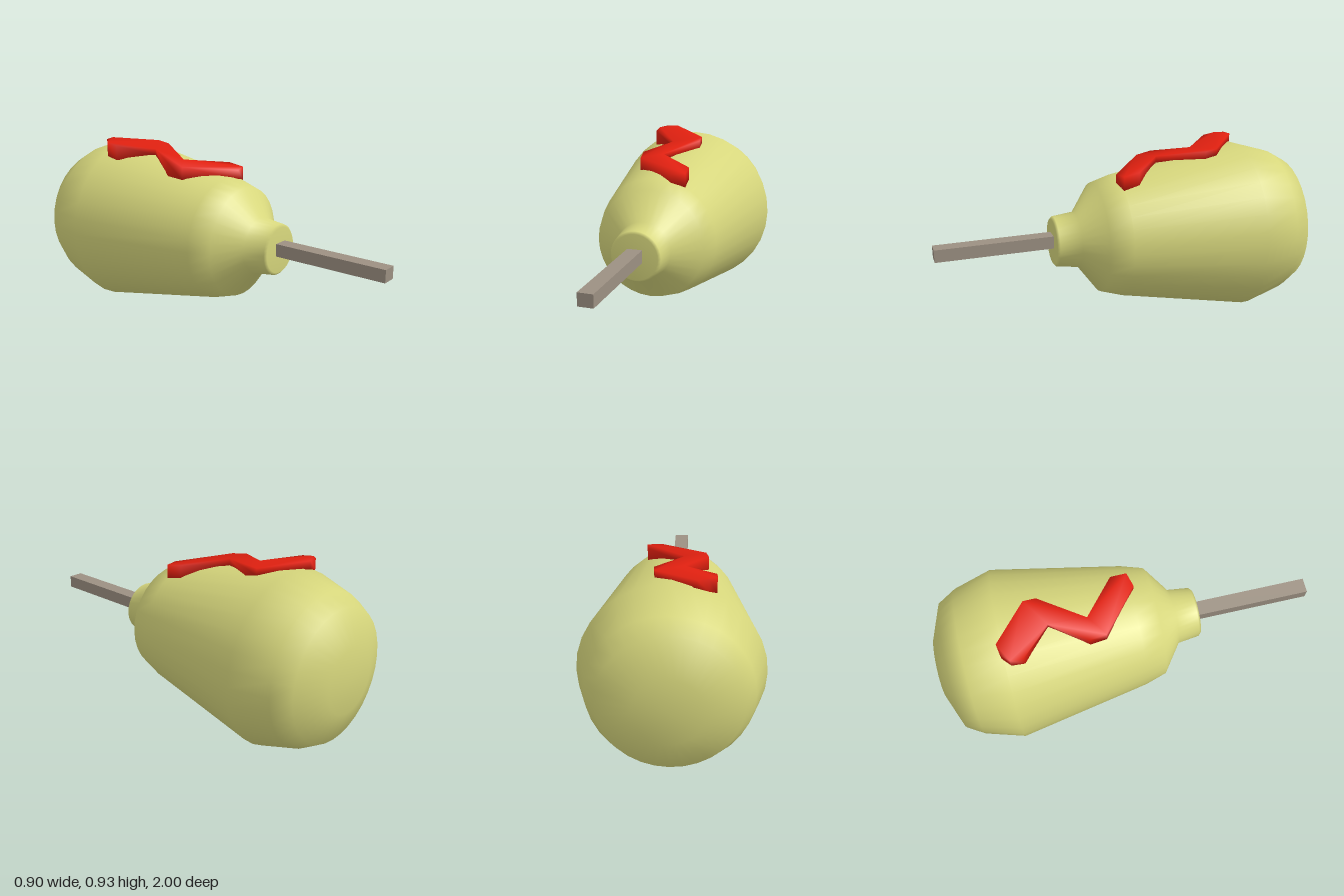
import * as THREE from 'three';
import { mergeVertices } from 'three/addons/utils/BufferGeometryUtils.js';

const AXIS_Y = 0.453;

function part(name, geometry, color) {
  const mesh = new THREE.Mesh(geometry, new THREE.MeshStandardMaterial({ color }));
  mesh.name = name;
  return mesh;
}

// Zigzag plate: flat sloping top, underside following the round body
function boltGeometry() {
  const outline = [
    [-0.17, -0.65], [-0.115, -0.66], [0.085, -0.495], [0.09, -0.43], [-0.05, -0.205],
    [0.145, -0.045], [0.152, 0.04], [0.08, 0.06], [-0.155, -0.13], [-0.168, -0.215],
    [-0.055, -0.4], [-0.207, -0.545], [-0.207, -0.61],
  ].map(([x, z]) => new THREE.Vector2(x, -z));
  let geo = new THREE.ExtrudeGeometry(new THREE.Shape(outline), { depth: 1, bevelEnabled: false });
  geo.rotateX(-Math.PI / 2);
  const p = geo.attributes.position;
  for (let i = 0; i < p.count; i++) {
    const x = p.getX(i), z = p.getZ(i);
    const radius = 0.325 + 0.184 * (0.04 - z);
    const top = 0.82 - 0.17 * z;
    const bottom = AXIS_Y + Math.sqrt(radius * radius - x * x);
    p.setY(i, p.getY(i) > 0.5 ? top : bottom);
  }
  // Shared vertices give the soft shading across the edges
  geo.deleteAttribute('normal');
  geo.deleteAttribute('uv');
  geo = mergeVertices(geo, 1e-4);
  geo.computeVertexNormals();
  return geo;
}

export function createModel() {
  const model = new THREE.Group();

  // Bulbous body with a short neck: [radius, z] from back to front
  const profile = [
    [0, -1], [0.165, -1], [0.338, -0.93], [0.391, -0.84], [0.45, -0.64],
    [0.325, 0.04], [0.29, 0.155], [0.147, 0.26], [0.133, 0.375], [0.12, 0.387], [0, 0.387],
  ].map(([r, z]) => new THREE.Vector2(r, z));
  const bodyGeo = new THREE.LatheGeometry(profile, 32);
  bodyGeo.rotateX(Math.PI / 2);
  const body = part('body', bodyGeo, 0xd6d67c);
  body.position.y = AXIS_Y;
  model.add(body);

  // Square shaft, dipping very slightly towards its tip
  const shaft = part('shaft', new THREE.BoxGeometry(0.078, 0.066, 0.64), 0x9c9082);
  shaft.position.set(0, 0.4585, 0.68);
  shaft.rotation.x = 0.011;
  model.add(shaft);

  model.add(part('zigzagBolt', boltGeometry(), 0xe02010));
  return model;
}
